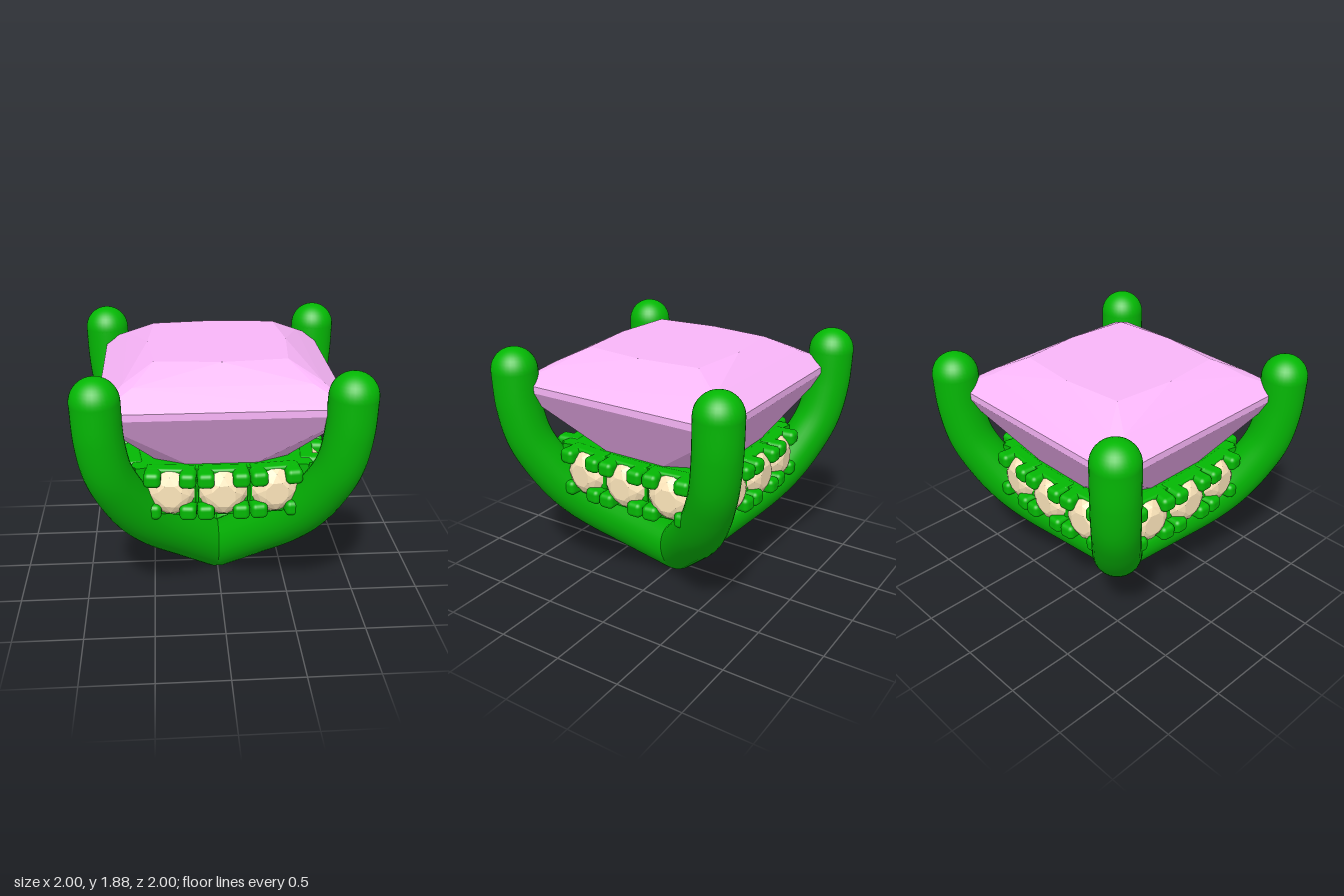
import * as THREE from 'three';
import { ConvexGeometry } from 'three/addons/geometries/ConvexGeometry.js';
import { RoundedBoxGeometry } from 'three/addons/geometries/RoundedBoxGeometry.js';

const green = new THREE.MeshStandardMaterial({ color: 0x04b804 });
const plum = new THREE.MeshStandardMaterial({ color: 0xfab6fa, flatShading: true });
const cream = new THREE.MeshStandardMaterial({ color: 0xfde6bb, flatShading: true });

const V = (x, y, z) => new THREE.Vector3(x, y, z);

function add(parent, name, geometry, material, x = 0, y = 0, z = 0) {
  const mesh = new THREE.Mesh(geometry, material);
  mesh.name = name;
  mesh.position.set(x, y, z);
  parent.add(mesh);
  return mesh;
}

// Square cut centre gem: each corner is repeated by quarter turns
function centreGemGeometry() {
  const quarter = [
    [0.455, 1.845, 0.455], [0, 1.845, 0.5],                       // table
    [0.6, 1.735, 0.667], [-0.6, 1.735, 0.667],                    // crown break
    [0.835, 1.615, 0.835], [0.835, 1.565, 0.835],                 // girdle
    [0, 0.95, 0.47], [0.42, 1.07, 0.42],                          // pavilion
  ];
  const points = [V(0, 0.64, 0)];
  for (let i = 0; i < 4; i++) {
    for (const [x, y, z] of quarter) {
      let p = [x, z];
      for (let k = 0; k < i; k++) p = [p[1], -p[0]];
      points.push(V(p[0], y, p[1]));
    }
  }
  return new ConvexGeometry(points);
}

// Small round stone facing +z
function smallStoneGeometry() {
  const points = [V(0, 0, -0.12)];
  const ring = (n, r, z, turn) => {
    for (let i = 0; i < n; i++) {
      const a = ((i + turn) / n) * Math.PI * 2;
      points.push(V(r * Math.cos(a), r * Math.sin(a), z));
    }
  };
  ring(8, 0.085, 0.07, 0.5);
  ring(8, 0.135, 0.045, 0);
  ring(16, 0.168, 0, 0.5);
  return new ConvexGeometry(points);
}

// Gently bowed rail, seen from above as a band between two arcs
const BOW = 3.2, FACE = 0.665, MID_Y = 0.96;
function railGeometry() {
  const half = 0.2, up = Math.PI / 2, cy = FACE - BOW;
  const shape = new THREE.Shape();
  shape.absarc(0, cy, BOW, up - half, up + half, false);
  shape.absarc(0, cy, BOW - 0.21, up + half, up - half, true);
  const g = new THREE.ExtrudeGeometry(shape, { depth: 0.35, bevelEnabled: false, curveSegments: 24 });
  return g.rotateX(Math.PI / 2).translate(0, MID_Y + 0.172, 0);
}

// Claw running outward along the diagonal, a little thicker towards the base
function clawGeometry() {
  const profile = [[0, 0.145], [0.25, 0.4], [0.5, 0.66], [0.61, 0.81], [0.71, 1.0],
    [0.785, 1.2], [0.825, 1.45], [0.835, 1.71]];
  const curve = new THREE.CatmullRomCurve3(profile.map(([t, y]) => V(t, y, t)));
  const g = new THREE.TubeGeometry(curve, 64, 0.166, 32);
  const { position, uv } = g.attributes;
  const p = V(0, 0, 0);
  for (let i = 0; i < position.count; i++) {
    const u = uv.getX(i);
    const centre = curve.getPointAt(u);
    const swell = 1.1 - 0.1 * THREE.MathUtils.smoothstep(u, 0.3, 0.75);
    p.fromBufferAttribute(position, i).sub(centre).multiplyScalar(swell).add(centre);
    position.setXYZ(i, p.x, p.y, p.z);
  }
  return g;
}

export function createModel() {
  const model = new THREE.Group();
  model.name = 'gemSetting';

  add(model, 'centreGem', centreGemGeometry(), plum);
  const base = add(model, 'base', new THREE.SphereGeometry(0.205, 32, 20), green, 0, 0.185, 0);
  base.scale.y = 0.9;

  const claw = clawGeometry();
  const tip = new THREE.SphereGeometry(0.166, 32, 20);
  const rail = railGeometry();
  const stone = smallStoneGeometry();
  const bead = new RoundedBoxGeometry(0.118, 0.11, 0.17, 4, 0.035);
  const seat = new RoundedBoxGeometry(0.345, 0.355, 0.1, 3, 0.02);

  for (let i = 0; i < 4; i++) {
    const side = new THREE.Group();
    side.name = 'side';
    side.rotation.y = (i * Math.PI) / 2;
    model.add(side);

    add(side, 'claw', claw, green);
    add(side, 'clawTip', tip, green, 0.835, 1.71, 0.835);
    add(side, 'rail', rail, green);

    // Three stones, each in a seat with four corner beads
    for (let k = -1; k <= 1; k++) {
      const a = Math.asin((k * 0.36) / BOW);
      const cell = new THREE.Group();
      cell.name = 'stoneCell';
      cell.position.set(k * 0.36, MID_Y, FACE - BOW * (1 - Math.cos(a)));
      cell.rotation.y = a;
      side.add(cell);
      add(cell, 'seat', seat, green, 0, 0, -0.025);
      add(cell, 'smallStone', stone, cream, 0, 0, 0.02);
      for (const sx of [-1, 1]) {
        for (const sy of [-1, 1]) {
          add(cell, 'bead', bead, green, sx * 0.122, sy * 0.122, 0.03);
        }
      }
    }
  }
  return model;
}
